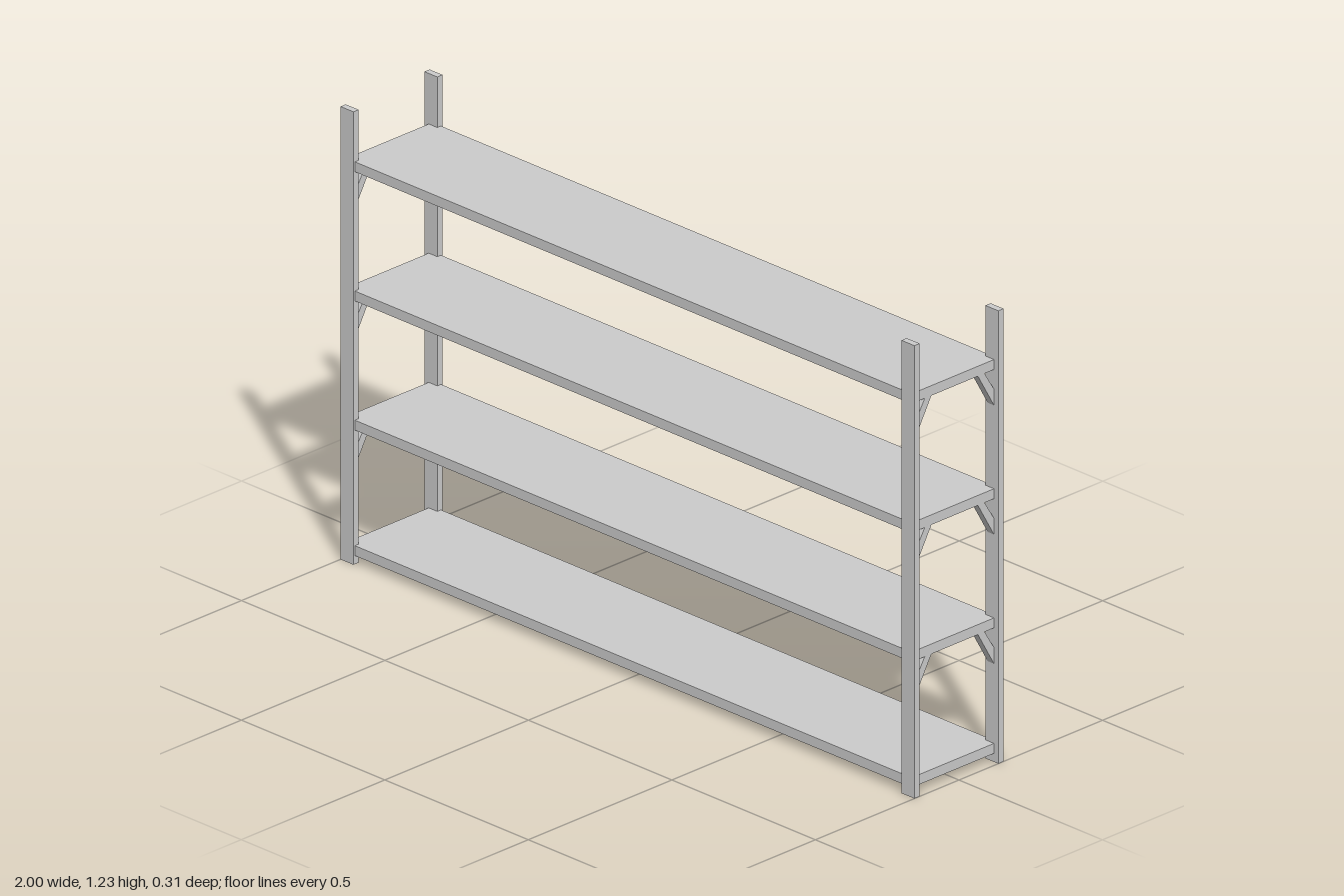
import * as THREE from 'three';

export function createModel() {
  const model = new THREE.Group();
  const material = new THREE.MeshStandardMaterial({ color: 0xcccccc, flatShading: true });

  const HEIGHT = 1.227;
  const POST_W = 0.045, POST_D = 0.018, HALF_DEPTH = 0.155;
  const INNER_X = 1 - POST_W, INNER_Z = HALF_DEPTH - POST_D;
  const SHELF_T = 0.027, SHELF_X = 0.985, SHELF_Z = 0.15;
  const shelfTops = [0.05, 0.39, 0.74, 1.09];

  const add = (name, geometry, x, y, z) => {
    const mesh = new THREE.Mesh(geometry, material);
    mesh.name = name;
    mesh.position.set(x, y, z);
    model.add(mesh);
    return mesh;
  };

  // Shelf board outline, notched at the corners around the posts
  const outline = new THREE.Shape([
    [INNER_X, -SHELF_Z], [INNER_X, -INNER_Z], [SHELF_X, -INNER_Z],
    [SHELF_X, INNER_Z], [INNER_X, INNER_Z], [INNER_X, SHELF_Z],
    [-INNER_X, SHELF_Z], [-INNER_X, INNER_Z], [-SHELF_X, INNER_Z],
    [-SHELF_X, -INNER_Z], [-INNER_X, -INNER_Z], [-INNER_X, -SHELF_Z],
  ].map(([x, z]) => new THREE.Vector2(x, z)));
  const shelfGeometry = new THREE.ExtrudeGeometry(outline, { depth: SHELF_T, bevelEnabled: false });
  shelfGeometry.rotateX(Math.PI / 2); // top face ends up at y = 0

  // Diagonal brace: mitred against the shelf underside and the post
  const BRACE_W = 0.022;
  const makeBrace = (sz) => {
    const profile = new THREE.Shape([
      [0.104, 0], [0.081, 0], [INNER_Z, -0.097], [INNER_Z, -0.053],
    ].map(([z, y]) => new THREE.Vector2(-sz * z, y)));
    const geometry = new THREE.ExtrudeGeometry(profile, { depth: BRACE_W, bevelEnabled: false });
    geometry.translate(0, 0, -BRACE_W / 2);
    return geometry.rotateY(Math.PI / 2); // profile x becomes -z
  };

  const postGeometry = new THREE.BoxGeometry(POST_W, HEIGHT, POST_D);

  shelfTops.forEach((top) => add('shelf', shelfGeometry, 0, top, 0));

  for (const sz of [1, -1]) {
    const braceGeometry = makeBrace(sz);
    for (const sx of [1, -1]) {
      const corner = (sz > 0 ? 'front' : 'back') + (sx > 0 ? 'Left' : 'Right');
      add(corner + 'Post', postGeometry, sx * (1 - POST_W / 2), HEIGHT / 2, sz * (HALF_DEPTH - POST_D / 2));
      // Braces sit under every shelf but the lowest
      shelfTops.slice(1).forEach((top) =>
        add(corner + 'Brace', braceGeometry, sx * (SHELF_X - BRACE_W / 2), top - SHELF_T, 0));
    }
  }
  return model;
}
